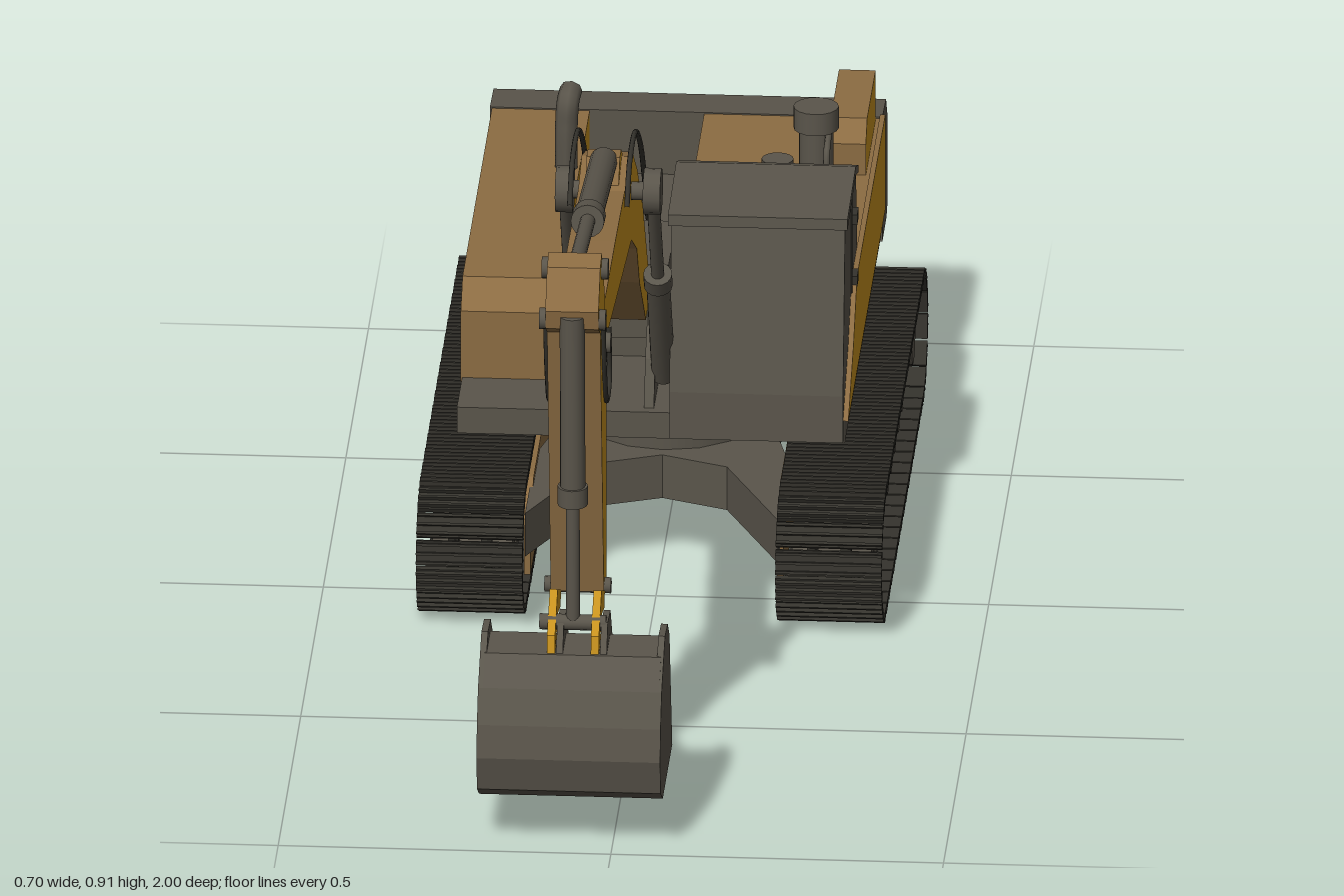
import * as THREE from 'three';

const mat = (name, color) => {
  const m = new THREE.MeshStandardMaterial({ color });
  m.name = name;
  return m;
};

export function createModel() {
  const root = new THREE.Group();
  root.name = 'excavator';
  const orange = mat('orange paint', 0xc8921f);
  const brown = mat('dull tan paint', 0x8c6c42);
  const gray = mat('warm gray metal', 0x5a554b);
  const dark = mat('dark track steel', 0x35332d);
  const paint = [orange, brown]; // side faces, then edge faces

  const add = (name, geo, m, parent = root) => {
    const mesh = new THREE.Mesh(geo, m);
    mesh.name = name;
    parent.add(mesh);
    return mesh;
  };
  // Side profile of [z, y] points, extruded from x0 to x1
  const slab = (name, pts, x0, x1, m, parent) => {
    const shape = new THREE.Shape(pts.map(([z, y]) => new THREE.Vector2(-z, y)));
    const geo = new THREE.ExtrudeGeometry(shape, { depth: x1 - x0, bevelEnabled: false });
    geo.rotateY(Math.PI / 2).translate(x0, 0, 0);
    return add(name, geo, m, parent);
  };
  const box = (name, x0, x1, y0, y1, z0, z1, m, parent) => {
    const geo = new THREE.BoxGeometry(x1 - x0, y1 - y0, z1 - z0);
    geo.translate((x0 + x1) / 2, (y0 + y1) / 2, (z0 + z1) / 2);
    return add(name, geo, m, parent);
  };
  const V = (p) => new THREE.Vector3(...p);
  const rod = (name, a, b, r, m, parent) => {
    const d = V(b).sub(V(a));
    const mesh = add(name, new THREE.CylinderGeometry(r, r, d.length(), 16), m, parent);
    mesh.position.copy(V(a)).addScaledVector(d, 0.5);
    mesh.quaternion.setFromUnitVectors(new THREE.Vector3(0, 1, 0), d.normalize());
    return mesh;
  };
  const tube = (name, pts, r, m) =>
    add(name, new THREE.TubeGeometry(new THREE.CatmullRomCurve3(pts.map(V)), 24, r, 8), m);
  // Thick barrel for the first part, thin rod for the rest
  const ram = (name, a, b, split, r) => {
    const g = new THREE.Group();
    g.name = name;
    root.add(g);
    const mid = V(a).lerp(V(b), split).toArray();
    const collar = V(a).lerp(V(b), split - 0.06).toArray();
    rod('barrel', a, mid, r, gray, g);
    rod('collar', collar, mid, r * 1.2, gray, g);
    rod('pistonRod', mid, b, r * 0.55, gray, g);
  };

  // Crawler tracks
  const R = 0.094, zF = 0.06, zB = -0.77, cy = 0.105;
  const flat = zF - zB, loop = 2 * flat + 2 * Math.PI * R, shoes = 54;
  const onTrack = (s) => {
    if (s < flat) return [zB + s, cy + R, 0];
    s -= flat;
    if (s < Math.PI * R) return [zF + R * Math.sin(s / R), cy + R * Math.cos(s / R), s / R];
    s -= Math.PI * R;
    if (s < flat) return [zF - s, cy - R, Math.PI];
    const a = Math.PI + (s - flat) / R;
    return [zB + R * Math.sin(a), cy + R * Math.cos(a), a];
  };
  for (const side of [-1, 1]) {
    const g = new THREE.Group();
    g.name = side > 0 ? 'leftTrack' : 'rightTrack';
    root.add(g);
    const cx = side * 0.27;
    for (let i = 0; i < shoes; i++) {
      const [z, y, a] = onTrack((i / shoes) * loop);
      const shoe = new THREE.Group();
      shoe.name = 'trackShoe';
      shoe.position.set(cx, y, z);
      shoe.rotation.x = a;
      box('plate', -0.08, 0.08, -0.004, 0.004, -0.019, 0.019, dark, shoe);
      for (const k of [-0.014, 0, 0.014])
        box('grouser', -0.08, 0.08, 0.003, 0.011, k - 0.002, k + 0.002, dark, shoe);
      for (const k of [-0.025, 0.025])
        box('link', k - 0.008, k + 0.008, -0.022, -0.004, -0.021, 0.021, dark, shoe);
      g.add(shoe);
    }
    const wheel = (name, z, y, r, w) =>
      rod(name, [cx - w, y, z], [cx + w, y, z], r, gray, g);
    wheel('idler', zF, cy, 0.068, 0.03);
    wheel('sprocket', zB, cy, 0.068, 0.03);
    wheel('finalDrive', zB, cy, 0.04, 0.065);
    wheel('idlerHub', zF, cy, 0.03, 0.06);
    for (let i = 0; i < 9; i++) wheel('bottomRoller', -0.03 - i * 0.08, 0.05, 0.022, 0.055);
    for (const z of [-0.22, -0.5]) wheel('topRoller', z, 0.16, 0.02, 0.05);
    const frame = [[0.03, 0.07], [0.03, 0.125], [-0.05, 0.15], [-0.66, 0.15], [-0.74, 0.125], [-0.74, 0.07]];
    slab('trackFrame', frame, cx - 0.05, cx + 0.05, gray, g);
    const inner = side * 0.19;
    slab('innerFramePlate', [[0.05, 0.05], [0.05, 0.14], [-0.02, 0.18], [-0.68, 0.18], [-0.76, 0.14], [-0.76, 0.05]],
      inner - 0.005, inner + 0.005, brown, g);
  }

  // Crossed lower frame and slew ring
  const cross = [[0.19, 0.1], [0.1, -0.1], [0, -0.14], [-0.1, -0.1], [-0.19, 0.1], [-0.19, -0.13], [-0.15, -0.3],
    [-0.19, -0.5], [-0.19, -0.7], [0, -0.47], [0.19, -0.7], [0.19, -0.5], [0.15, -0.3], [0.19, -0.13]];
  const crossGeo = new THREE.ExtrudeGeometry(
    new THREE.Shape(cross.map(([x, z]) => new THREE.Vector2(x, -z))), { depth: 0.07, bevelEnabled: false });
  add('lowerFrame', crossGeo.rotateX(-Math.PI / 2).translate(0, 0.1, 0), gray);
  rod('slewRing', [0, 0.16, -0.3], [0, 0.225, -0.3], 0.14, gray);

  // Upper deck, hoods and counterweight
  box('deck', -0.305, 0.278, 0.22, 0.262, -0.9, -0.085, gray);
  slab('rightHood', [[-0.2, 0.255], [-0.2, 0.37], [-0.24, 0.41], [-0.895, 0.41], [-0.895, 0.255]],
    -0.307, -0.16, paint);
  slab('leftHood', [[-0.38, 0.255], [-0.38, 0.41], [-0.895, 0.41], [-0.895, 0.255]], 0.012, 0.276, paint);
  slab('leftSidePanel', [[-0.075, 0.26], [-0.19, 0.335], [-0.27, 0.414], [-0.895, 0.414], [-0.895, 0.26]],
    0.276, 0.284, paint);
  box('engineFloor', -0.16, 0.012, 0.26, 0.31, -0.89, -0.3, gray);
  box('engineBlock', -0.14, 0, 0.3, 0.42, -0.45, -0.28, gray);
  slab('counterweight', [[-0.89, 0.21], [-0.89, 0.412], [-0.97, 0.408], [-1, 0.37], [-1, 0.225], [-0.98, 0.212]],
    -0.31, 0.28, gray);
  slab('rearCover', [[-0.67, 0.41], [-0.67, 0.46], [-0.7, 0.49], [-0.885, 0.49], [-0.885, 0.41]], 0.215, 0.27, paint);

  // Exhaust, air cleaner and handrail
  tube('exhaust', [[-0.18, 0.4, -0.67], [-0.18, 0.48, -0.67], [-0.178, 0.515, -0.675], [-0.175, 0.525, -0.7]], 0.017, gray);
  rod('airCleaner', [0.2, 0.4, -0.6], [0.2, 0.52, -0.6], 0.026, gray);
  rod('airCleanerCap', [0.2, 0.515, -0.6], [0.2, 0.55, -0.6], 0.034, gray);
  rod('fillerNeck', [0.14, 0.4, -0.63], [0.14, 0.45, -0.63], 0.024, gray);
  tube('handrail', [[0.22, 0.41, -0.54], [0.22, 0.5, -0.54], [0.22, 0.51, -0.57], [0.22, 0.51, -0.66], [0.22, 0.48, -0.68]], 0.005, gray);

  // Cab
  slab('cab', [[-0.073, 0.225], [-0.075, 0.3], [-0.122, 0.562], [-0.3, 0.572], [-0.36, 0.55], [-0.39, 0.42], [-0.39, 0.225]],
    0.015, 0.276, gray);
  slab('cabRoof', [[-0.116, 0.553], [-0.118, 0.57], [-0.3, 0.58], [-0.363, 0.556], [-0.36, 0.545], [-0.3, 0.566]],
    0.01, 0.28, gray);
  for (const y of [0.41, 0.51]) box('doorHinge', 0.274, 0.285, y - 0.008, y + 0.008, -0.29, -0.26, dark);
  slab('doorSeam', [[-0.25, 0.39], [-0.25, 0.55], [-0.254, 0.55], [-0.254, 0.39]], 0.275, 0.278, dark);

  // Boom with foot brackets and lifting rams
  slab('boom', [[0.79, 0.74], [0.757, 0.77], [0.46, 0.768], [0.25, 0.762], [0.17, 0.785], [0.08, 0.755], [-0.03, 0.68],
    [-0.16, 0.56], [-0.28, 0.41], [-0.27, 0.36], [-0.22, 0.355], [-0.08, 0.475], [-0.02, 0.555], [0.1, 0.62],
    [0.25, 0.64], [0.65, 0.695], [0.78, 0.7]], -0.1, -0.03, paint);
  for (const x of [-0.12, -0.025])
    slab('boomFoot', [[-0.1, 0.26], [-0.13, 0.33], [-0.22, 0.43], [-0.29, 0.43], [-0.34, 0.26]], x, x + 0.015, gray);
  for (const x of [-0.13, 0.002]) {
    ram('boomRam', [x, 0.3, -0.14], [x, 0.7, 0.1], 0.55, 0.018);
    rod('boomRamEye', [x - 0.013, 0.7, 0.1], [x + 0.013, 0.7, 0.1], 0.035, gray);
  }
  rod('boomRamPin', [-0.14, 0.7, 0.1], [0.012, 0.7, 0.1], 0.014, gray);
  slab('stickRamBracket', [[0.25, 0.75], [0.21, 0.8], [0.18, 0.8], [0.12, 0.76]], -0.09, -0.04, paint);
  ram('stickRam', [-0.065, 0.79, 0.2], [-0.065, 0.88, 0.82], 0.58, 0.021);

  // Stick and bucket ram
  slab('stick', [[0.83, 0.905], [0.865, 0.895], [0.905, 0.84], [0.9, 0.81], [0.865, 0.79], [0.785, 0.335], [0.73, 0.33],
    [0.728, 0.69], [0.765, 0.81], [0.79, 0.85]], -0.105, -0.025, paint);
  for (const [z, y] of [[0.77, 0.735], [0.885, 0.82], [0.83, 0.88]])
    rod('stickPin', [-0.115, y, z], [-0.015, y, z], 0.016, gray);
  ram('bucketRam', [-0.065, 0.83, 0.895], [-0.065, 0.33, 0.88], 0.62, 0.019);

  // Bucket linkage
  for (const x of [-0.102, -0.036]) {
    slab('bucketLink', [[0.92, 0.265], [0.91, 0.315], [0.85, 0.365], [0.78, 0.335], [0.785, 0.31], [0.845, 0.325], [0.89, 0.29]],
      x, x + 0.012, orange);
    slab('bucketEar', [[0.92, 0.28], [0.89, 0.33], [0.83, 0.325], [0.79, 0.27]], x + 0.014, x + 0.024, gray);
  }
  rod('linkPin', [-0.115, 0.325, 0.88], [-0.015, 0.325, 0.88], 0.012, gray);
  rod('linkPin', [-0.115, 0.34, 0.77], [-0.015, 0.34, 0.77], 0.012, gray);

  // Bucket: open curved shell, cheeks and teeth
  const outer = [[0.8, 0.265], [0.84, 0.29], [0.92, 0.288], [0.965, 0.25], [0.99, 0.2], [1, 0.15], [0.988, 0.095],
    [0.94, 0.067], [0.73, 0.067]];
  const inner = outer.map(([z, y]) => [0.87 + (z - 0.87) * 0.93, 0.18 + (y - 0.18) * 0.92]).reverse();
  slab('bucketShell', [...outer, ...inner], -0.195, 0.07, gray);
  const cheek = [[0.79, 0.27], [0.83, 0.305], [0.89, 0.31], ...outer.slice(3), [0.757, 0.155]];
  for (const x of [-0.202, 0.064]) slab('bucketCheek', cheek, x, x + 0.01, gray);
  for (let i = 0; i < 5; i++) {
    const x = -0.187 + i * 0.057;
    slab('bucketTooth', [[0.76, 0.063], [0.76, 0.085], [0.71, 0.085], [0.63, 0.066], [0.63, 0.063]], x, x + 0.022, gray);
  }

  // Hydraulic hoses
  for (const x of [-0.108, -0.022]) {
    tube('boomHose', [[x, 0.765, 0.32], [x, 0.81, 0.27], [x, 0.815, 0.15], [x, 0.75, 0.03], [x, 0.65, -0.07], [x, 0.55, -0.15]], 0.004, dark);
    tube('stickHose', [[x, 0.74, 0.72], [x, 0.65, 0.71], [x, 0.64, 0.77], [x, 0.71, 0.82], [x, 0.8, 0.85]], 0.004, dark);
  }
  return root;
}
